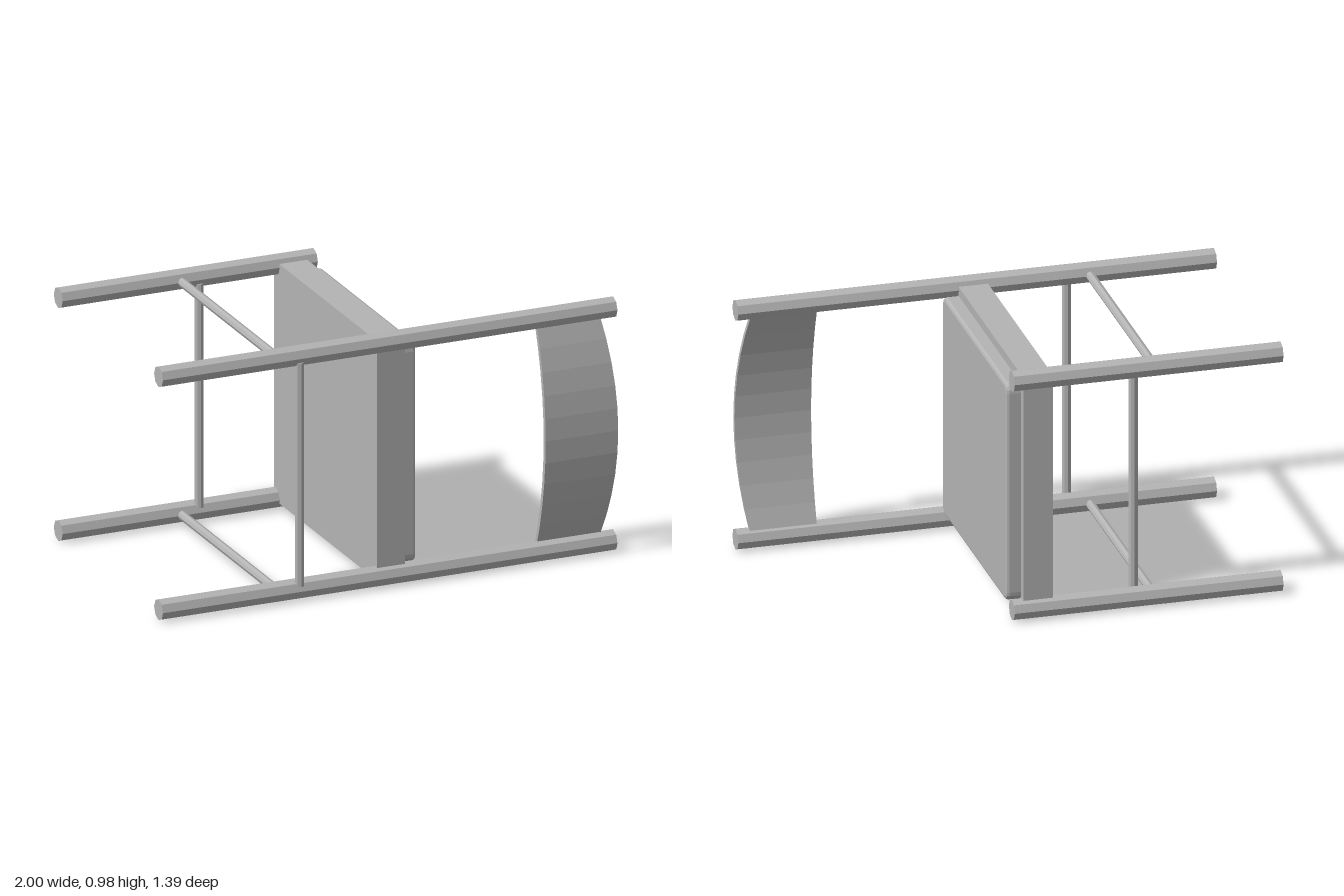
import * as THREE from 'three';

// A chair lying on its side. It is built upright (x across, y up the legs,
// z forward, origin between the feet of the back legs) and then laid down.
export function createModel() {
  const grey = new THREE.MeshStandardMaterial({ color: 0xb4b4b4, flatShading: true });
  grey.name = 'grey';
  const chair = new THREE.Group();
  chair.name = 'chair';

  const add = (name, geometry, x, y, z) => {
    const mesh = new THREE.Mesh(geometry, grey);
    mesh.name = name;
    mesh.position.set(x, y, z);
    chair.add(mesh);
    return mesh;
  };

  const legX = 0.4475, legR = 0.04, depth = 0.893, rodR = 0.017;
  const legGeometry = (h) => new THREE.CylinderGeometry(legR, legR, h, 8);

  // Legs and side stretchers, mirrored
  for (const [side, s] of [['left', 1], ['right', -1]]) {
    add(side + 'BackLeg', legGeometry(1.79), s * legX, 0.895, 0);
    add(side + 'FrontLeg', legGeometry(1.005), s * legX, 0.5025, depth);
    add(side + 'Stretcher', new THREE.CylinderGeometry(rodR, rodR, depth, 8), s * legX, 0.472, depth / 2)
      .rotation.x = Math.PI / 2;
  }

  // Cross stretchers
  for (const [name, z] of [['backStretcher', -0.022], ['frontStretcher', depth - 0.022]]) {
    add(name, new THREE.CylinderGeometry(rodR, rodR, 0.86, 8), 0, 0.545, z).rotation.z = Math.PI / 2;
  }

  // Seat frame
  add('seatFrame', new THREE.BoxGeometry(0.92, 0.11, 0.917), 0, 0.91, depth / 2);

  // Seat pad with rounded corners and a small bevel
  const bevel = 0.012, w = 0.425 - bevel, d = 0.4325 - bevel, r = 0.025;
  const pad = new THREE.Shape();
  pad.moveTo(-w + r, -d);
  pad.lineTo(w - r, -d);
  pad.quadraticCurveTo(w, -d, w, -d + r);
  pad.lineTo(w, d - r);
  pad.quadraticCurveTo(w, d, w - r, d);
  pad.lineTo(-w + r, d);
  pad.quadraticCurveTo(-w, d, -w, d - r);
  pad.lineTo(-w, -d + r);
  pad.quadraticCurveTo(-w, -d, -w + r, -d);
  const padGeometry = new THREE.ExtrudeGeometry(pad, {
    depth: 0.048, bevelEnabled: true, bevelThickness: bevel, bevelSize: bevel, bevelSegments: 2, curveSegments: 4,
  });
  padGeometry.rotateX(-Math.PI / 2);
  add('seatPad', padGeometry, 0, 0.96, 0.4425);

  // Backrest: a box bowed backwards, with an arched top edge
  const half = 0.425;
  const rest = new THREE.BoxGeometry(2 * half, 1, 0.018, 10, 1, 1);
  const p = rest.attributes.position;
  for (let i = 0; i < p.count; i++) {
    const x = p.getX(i);
    const bow = 1 - (x / half) ** 2;
    p.setY(i, p.getY(i) > 0 ? 1.738 + 0.038 * bow : 1.49);
    p.setZ(i, p.getZ(i) + 0.011 - 0.08 * bow);
  }
  rest.computeVertexNormals();
  add('backrest', rest, 0, 0, 0);

  // Lay the chair on its side, turned about the vertical
  const up = new THREE.Vector3(0.754, 0, -0.657).normalize();
  const forward = new THREE.Vector3(up.z, 0, -up.x);
  const across = new THREE.Vector3(0, 1, 0);
  chair.quaternion.setFromRotationMatrix(new THREE.Matrix4().makeBasis(across, up, forward));
  chair.position.set(-0.39, 0.4875, 0.665);

  const model = new THREE.Group();
  model.name = 'model';
  model.add(chair);
  return model;
}
